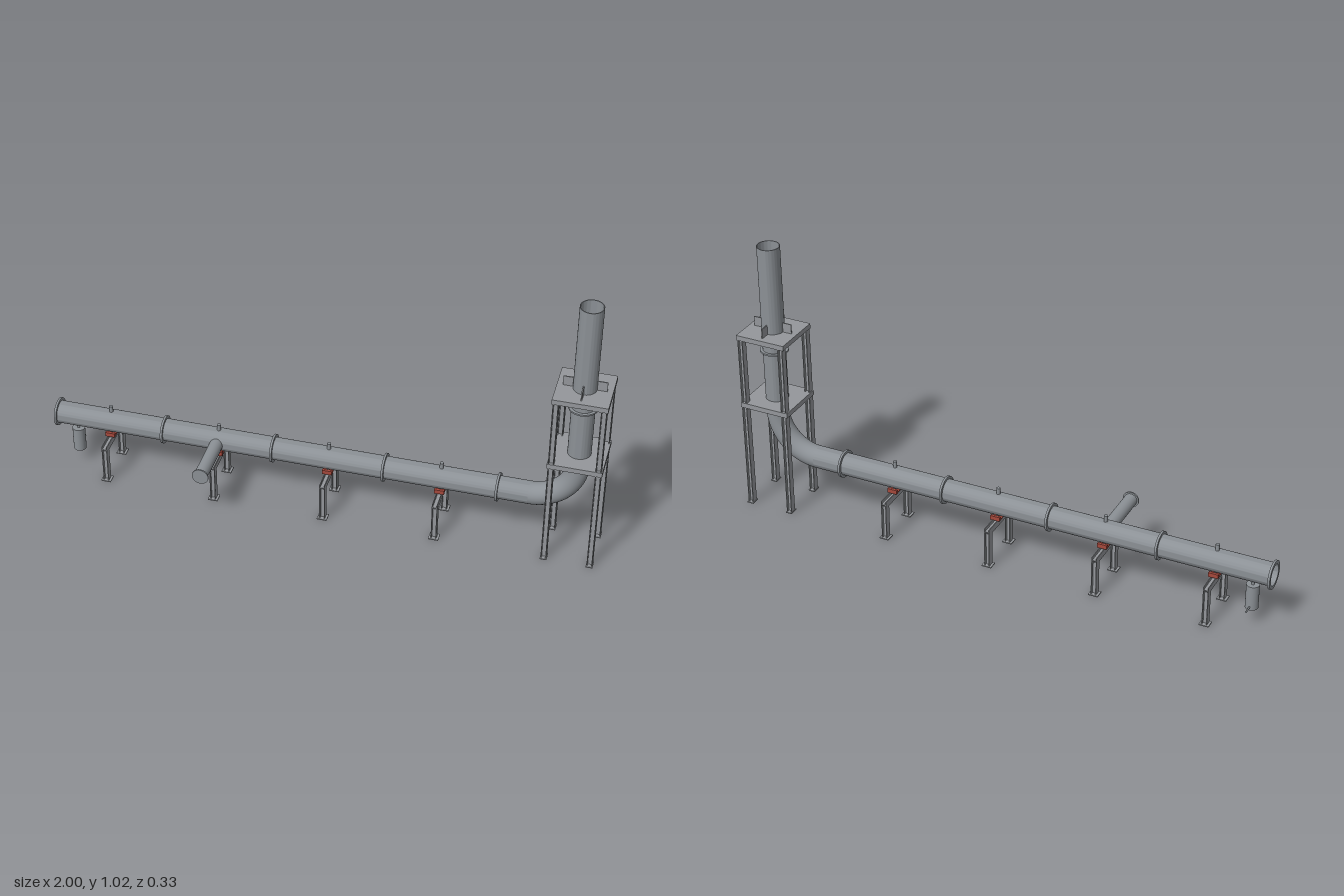
import * as THREE from 'three';
import { toCreasedNormals } from 'three/addons/utils/BufferGeometryUtils.js';

const PY = 0.208, PZ = -0.062, R = 0.041, BEND = 0.16, TX = 0.9;

export function createModel() {
  const model = new THREE.Group();
  const mat = (name, color, side = THREE.FrontSide) => {
    const m = new THREE.MeshStandardMaterial({ color, side });
    m.name = name;
    return m;
  };
  const pipeGrey = mat('pipe grey', 0x8c9196, THREE.DoubleSide);
  const steel = mat('structural steel', 0x94979b);
  const red = mat('saddle red', 0xa5483c);

  const add = (name, geo, material, x, y, z, parent = model) => {
    const m = new THREE.Mesh(geo, material);
    m.name = name;
    m.position.set(x, y, z);
    parent.add(m);
    return m;
  };
  const box = (name, w, h, d, material, x, y, z, parent) =>
    add(name, new THREE.BoxGeometry(w, h, d), material, x, y, z, parent);

  // Hollow pipe or flange ring centred on its length, along the chosen axis
  const ring = (outer, inner, length, axis) => {
    const s = new THREE.Shape().absarc(0, 0, outer, 0, Math.PI * 2, false);
    s.holes.push(new THREE.Path().absarc(0, 0, inner, 0, Math.PI * 2, true));
    const g = new THREE.ExtrudeGeometry(s, { depth: length, bevelEnabled: false, curveSegments: 40 });
    g.translate(0, 0, -length / 2);
    if (axis === 'x') g.rotateY(Math.PI / 2);
    if (axis === 'y') g.rotateX(-Math.PI / 2);
    return toCreasedNormals(g, 0.6);
  };

  // H-section beam along z or y, with its flanges facing +x and -x
  const beam = (length, axis, w = 0.024, d = 0.02) => {
    const t = 0.003, a = d / 2, b = w / 2, c = 0.0015;
    const pts = [[-a, -b], [-a + t, -b], [-a + t, -c], [a - t, -c], [a - t, -b], [a, -b],
      [a, b], [a - t, b], [a - t, c], [-a + t, c], [-a + t, b], [-a, b]];
    const s = new THREE.Shape(pts.map(p => new THREE.Vector2(...p)));
    const g = new THREE.ExtrudeGeometry(s, { depth: length, bevelEnabled: false });
    g.translate(0, 0, -length / 2);
    if (axis === 'y') g.rotateX(-Math.PI / 2);
    return g;
  };

  // Main run, elbow and stack
  const runEnd = TX - BEND, stackStart = PY + BEND, top = 1.02;
  add('mainPipe', ring(R, R - 0.003, runEnd + 0.998, 'x'), pipeGrey, (runEnd - 0.998) / 2, PY, PZ);
  const k = BEND * 0.5523;
  const bend = new THREE.CubicBezierCurve3(
    new THREE.Vector3(runEnd, PY, PZ), new THREE.Vector3(runEnd + k, PY, PZ),
    new THREE.Vector3(TX, stackStart - k, PZ), new THREE.Vector3(TX, stackStart, PZ));
  add('elbow', new THREE.TubeGeometry(bend, 28, R, 40), pipeGrey, 0, 0, 0);
  add('stack', ring(R, R - 0.003, top - stackStart, 'y'), pipeGrey, TX, (top + stackStart) / 2, PZ);

  // Flanges
  for (const x of [-0.996, -0.592, -0.184, 0.223, 0.63])
    add('flange', ring(0.051, R - 0.003, 0.008, 'x'), pipeGrey, x, PY, PZ);
  add('stackFlange', ring(0.051, R - 0.003, 0.006, 'y'), pipeGrey, TX, 0.613, PZ);

  // Side branch with blind flange
  const branch = new THREE.CylinderGeometry(0.024, 0.024, 0.19, 32).rotateX(Math.PI / 2);
  add('branchPipe', branch, pipeGrey, -0.388, PY, 0.065);
  const blind = new THREE.CylinderGeometry(0.03, 0.03, 0.005, 32).rotateX(Math.PI / 2);
  add('branchFlange', blind, pipeGrey, -0.388, PY, 0.161);

  // Drain pot below the open end
  add('drainPot', new THREE.CylinderGeometry(0.023, 0.023, 0.093, 32), pipeGrey, -0.927, 0.1035, PZ);
  add('drainNeck', new THREE.CylinderGeometry(0.005, 0.005, 0.03, 16), pipeGrey, -0.927, 0.16, PZ);
  const outlet = new THREE.CylinderGeometry(0.003, 0.003, 0.037, 12).rotateX(Math.PI / 2);
  add('drainOutlet', outlet, pipeGrey, -0.927, 0.07, PZ - 0.038);

  // Pipe supports
  for (const x of [-0.795, -0.388, 0.019, 0.426]) {
    const g = new THREE.Group();
    g.name = 'pipeSupport';
    g.position.set(x, 0, PZ);
    model.add(g);
    add('crossBeam', beam(0.19, 'z'), steel, 0, 0.142, 0, g);
    for (const s of [-1, 1]) {
      add('supportLeg', beam(0.13, 'y'), steel, 0, 0.065, s * 0.083, g);
      box('basePlate', 0.036, 0.004, 0.034, steel, 0, 0.002, s * 0.083, g);
      box('saddleBlock', 0.036, 0.016, 0.01, red, 0, 0.162, s * 0.025, g);
    }
    box('saddlePlate', 0.036, 0.004, 0.05, red, 0, 0.157, 0, g);
    box('saddleWeb', 0.006, 0.016, 0.03, steel, 0, 0.165, 0, g);
    add('topStud', new THREE.CylinderGeometry(0.007, 0.007, 0.03, 16), pipeGrey, 0, 0.257, 0, g);
  }

  // Support tower: legs, two framed platforms, gussets
  const tower = new THREE.Group();
  tower.name = 'tower';
  tower.position.set(TX, 0, PZ);
  model.add(tower);
  for (const sx of [-1, 1])
    for (const sz of [-1, 1]) {
      add('towerLeg', beam(0.675, 'y'), steel, sx * 0.081, 0.3375, sz * 0.083, tower);
      box('towerBasePlate', 0.024, 0.004, 0.034, steel, sx * 0.081, 0.002, sz * 0.083, tower);
    }
  const plate = new THREE.Shape([[-1, -1], [1, -1], [1, 1], [-1, 1]]
    .map(([x, y]) => new THREE.Vector2(x * 0.095, y * 0.095)));
  plate.holes.push(new THREE.Path().absarc(0, 0, R, 0, Math.PI * 2, true));
  for (const y of [0.401, 0.673]) {
    const g = new THREE.ExtrudeGeometry(plate, { depth: 0.008, bevelEnabled: false, curveSegments: 40 });
    g.rotateX(-Math.PI / 2);
    add('platform', g, steel, 0, y + 0.011, 0, tower);
    for (const s of [-1, 1]) {
      box('platformSideBeam', 0.008, 0.012, 0.19, steel, s * 0.091, y + 0.006, 0, tower);
      box('platformEndBeam', 0.174, 0.012, 0.008, steel, 0, y + 0.006, s * 0.091, tower);
    }
  }
  for (let i = 0; i < 4; i++) {
    const pivot = new THREE.Group();
    pivot.name = 'gusset';
    pivot.rotation.y = i * Math.PI / 2;
    tower.add(pivot);
    box('gussetPlate', 0.036, 0.037, 0.004, steel, 0.057, 0.7095, 0, pivot);
  }
  return model;
}
